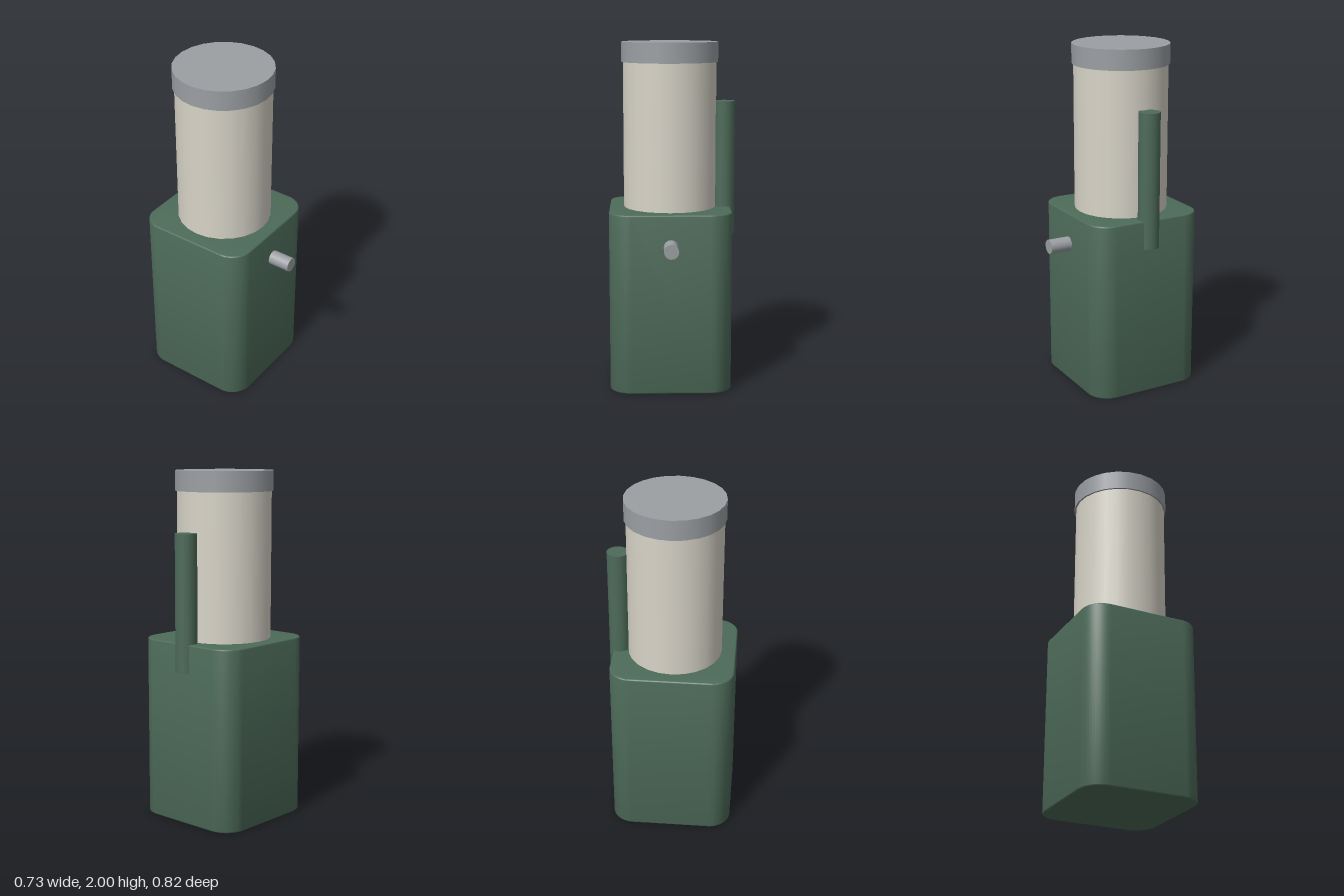
import * as THREE from 'three';
import { toCreasedNormals } from 'three/addons/utils/BufferGeometryUtils.js';

const CX = -0.015, CZ = -0.065; // shared vertical axis of body, column and cap

const paint = (color) => new THREE.MeshStandardMaterial({ color });

// Rounded rectangle centred on the origin
function roundedRect(w, d, r) {
  const x = w / 2, y = d / 2;
  const s = new THREE.Shape();
  s.absarc(x - r, y - r, r, 0, Math.PI / 2);
  s.absarc(-x + r, y - r, r, Math.PI / 2, Math.PI);
  s.absarc(-x + r, -y + r, r, Math.PI, Math.PI * 1.5);
  s.absarc(x - r, -y + r, r, Math.PI * 1.5, Math.PI * 2);
  s.closePath();
  return s;
}

export function createModel() {
  const group = new THREE.Group();
  const green = paint(0x4d6b59), cream = paint(0xd8d4c8), steel = paint(0x9b9fa3);

  const add = (name, geometry, material, x, y, z) => {
    const mesh = new THREE.Mesh(geometry, material);
    mesh.name = name;
    mesh.position.set(x, y, z);
    group.add(mesh);
    return mesh;
  };
  // Upright cylinder between two heights
  const post = (name, r, y0, y1, sides, material, x, z) =>
    add(name, new THREE.CylinderGeometry(r, r, y1 - y0, sides), material, x, (y0 + y1) / 2, z);

  // Body: rounded box with finely softened top and bottom edges
  const height = 1.045, bevel = 0.008;
  const body = new THREE.ExtrudeGeometry(roundedRect(0.704 - 2 * bevel, 0.69 - 2 * bevel, 0.117), {
    depth: height - 2 * bevel, curveSegments: 6,
    bevelThickness: bevel, bevelSize: bevel, bevelSegments: 3,
  });
  body.rotateX(-Math.PI / 2);
  add('body', toCreasedNormals(body, 0.7), green, CX, bevel, CZ);

  // Column and its wider cap
  post('column', 0.27, 1.0, 1.89, 24, cream, CX, CZ);
  post('cap', 0.28, 1.885, 2.0, 24, steel, CX, CZ);

  // Side rod, partly sunk into the body
  post('sideRod', 0.062, 0.88, 1.66, 16, green, 0.303, CZ);

  // Front peg
  const peg = add('frontPeg', new THREE.CylinderGeometry(0.042, 0.042, 0.168, 16), steel, CX, 0.863, 0.324);
  peg.rotation.x = Math.PI / 2;

  return group;
}
